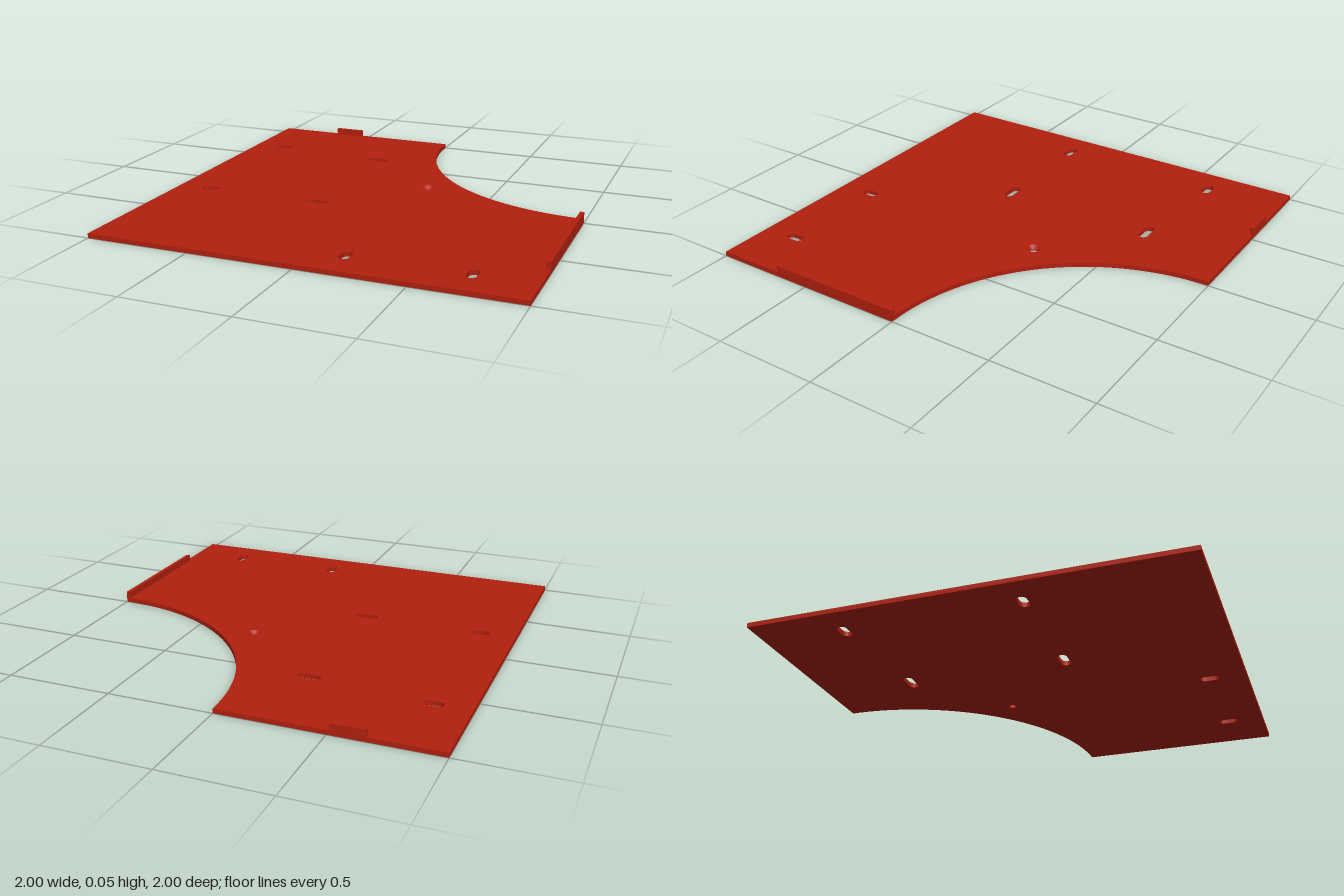
import * as THREE from 'three';
import { toCreasedNormals } from 'three/addons/utils/BufferGeometryUtils.js';

const T = 0.022;      // plate thickness
const LIP_TOP = 0.055; // top of the upright tabs

// Rounded slot; half = half length, r = half width (shape y is -z)
function slot(x, z, half, r, alongZ) {
  const p = new THREE.Path();
  const s = half - r;
  const turn = alongZ ? Math.PI / 2 : 0;
  const dx = alongZ ? 0 : s, dy = alongZ ? s : 0;
  p.absarc(x + dx, -z + dy, r, turn - Math.PI / 2, turn + Math.PI / 2, false);
  p.absarc(x - dx, -z - dy, r, turn + Math.PI / 2, turn + Math.PI * 1.5, false);
  p.closePath();
  return p;
}

export function createModel() {
  const group = new THREE.Group();
  group.name = 'mountingPlate';
  const red = new THREE.MeshStandardMaterial({ color: 0xb3200e });
  red.name = 'red';

  function add(name, geometry) {
    const mesh = new THREE.Mesh(geometry, red);
    mesh.name = name;
    group.add(mesh);
    return mesh;
  }

  // Square sheet with a quarter circle cut from its back left corner
  const outline = new THREE.Shape();
  outline.moveTo(-1, -1);
  outline.lineTo(1, -1);
  outline.lineTo(1, 0);
  outline.absarc(1, 1, 1, Math.PI * 1.5, Math.PI, true);
  outline.lineTo(-1, 1);
  outline.closePath();

  // Slots, then the seat for the countersunk hole
  const slots = [
    [-0.83, -0.613, 0.045, false], [-0.25, -0.558, 0.056, false],
    [-0.83, 0.22, 0.045, false], [-0.25, 0.22, 0.056, false],
    [0.165, 0.826, 0.045, true], [0.72, 0.826, 0.045, true],
  ];
  for (const [x, z, half, alongZ] of slots) outline.holes.push(slot(x, z, half, 0.023, alongZ));
  const sink = { x: 0.18, z: -0.187, outer: 0.035, inner: 0.019 };
  outline.holes.push(new THREE.Path().absarc(sink.x, -sink.z, sink.outer, 0, Math.PI * 2, true));

  const sheet = new THREE.ExtrudeGeometry(outline, { depth: T, bevelEnabled: false, curveSegments: 40 });
  sheet.rotateX(-Math.PI / 2);
  add('plate', toCreasedNormals(sheet, 0.6));

  // Conical countersink with its flat underside
  const cone = new THREE.LatheGeometry([
    new THREE.Vector2(sink.outer, T),
    new THREE.Vector2(sink.inner, 0.004),
    new THREE.Vector2(sink.inner, 0),
    new THREE.Vector2(sink.outer, 0),
  ], 40);
  add('countersunkHole', toCreasedNormals(cone, 0.4)).position.set(sink.x, 0, sink.z);

  // Upright tabs on the left and back edges, standing on the sheet
  const h = LIP_TOP - T;
  add('sideLip', new THREE.BoxGeometry(0.02, h, 0.667)).position.set(0.99, T + h / 2, 0.3335);
  add('backTab', new THREE.BoxGeometry(0.155, h, 0.02)).position.set(-0.5895, T + h / 2, -0.99);

  return group;
}
